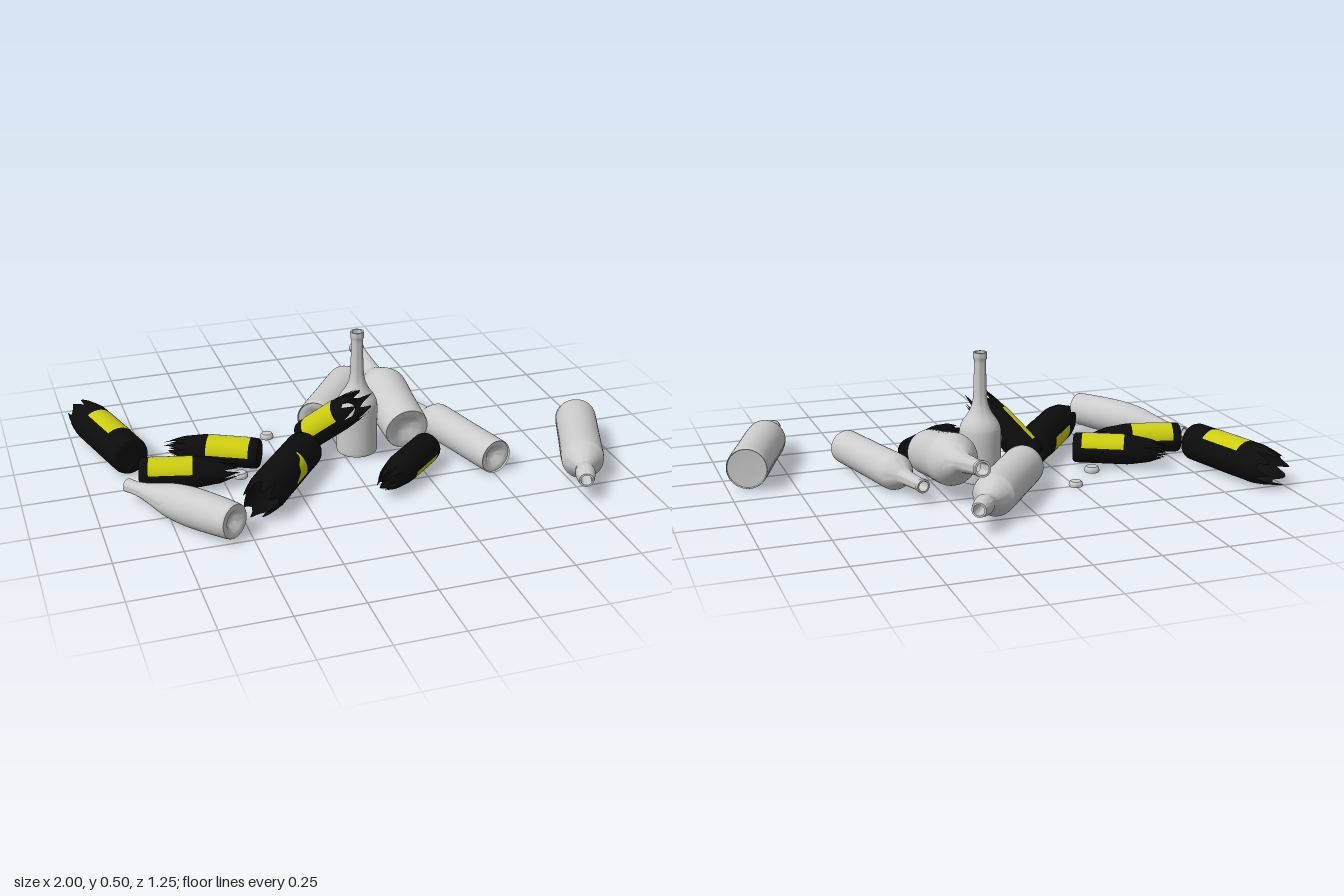
import * as THREE from 'three';
import { toCreasedNormals } from 'three/addons/utils/BufferGeometryUtils.js';

const grey = new THREE.MeshStandardMaterial({ color: 0xcccccc, side: THREE.DoubleSide });
const black = new THREE.MeshStandardMaterial({ color: 0x0c0c0c, side: THREE.DoubleSide });
const yellow = new THREE.MeshStandardMaterial({ color: 0xcccc10, side: THREE.DoubleSide });
const V2 = (p) => new THREE.Vector2(p[0], p[1]);

// Puts an object's base at "base", its axis toward "tip" and its local +z toward "face"
function place(obj, base, tip, face = [0, 1, 0.001]) {
  const b = new THREE.Vector3(...base);
  const y = new THREE.Vector3(...tip).sub(b).normalize();
  const z = new THREE.Vector3(...face);
  z.addScaledVector(y, -z.dot(y)).normalize();
  const x = new THREE.Vector3().crossVectors(y, z);
  obj.quaternion.setFromRotationMatrix(new THREE.Matrix4().makeBasis(x, y, z));
  obj.position.copy(b);
  return obj;
}

// Whole bottle: punted base, smooth outer wall [radius, height], open neck
function bottle(name, wall, punt = 0.025) {
  const [r0] = wall[0];
  const [rTop, hTop] = wall[wall.length - 1];
  const pts = [
    [0, punt], [r0 * 0.35, punt * 0.85], [r0 * 0.65, 0.002], [r0 * 0.88, 0],
  ].map(V2);
  pts.push(...new THREE.SplineCurve(wall.map(V2)).getPoints(48));
  pts.push(V2([rTop * 0.75, hTop]), V2([rTop * 0.7, hTop - 0.08]));
  const mesh = new THREE.Mesh(toCreasedNormals(new THREE.LatheGeometry(pts, 40), 0.7), grey);
  mesh.name = name;
  return mesh;
}

// Radius of a piecewise profile at height t
function radiusAt(profile, t) {
  for (let i = 1; i < profile.length; i++) {
    const [r0, h0] = profile[i - 1];
    const [r1, h1] = profile[i];
    if (t <= h1) return THREE.MathUtils.lerp(r0, r1, (t - h0) / (h1 - h0));
  }
  return profile[profile.length - 1][0];
}

// Curved label; cut(u) trims its height across the width
function label(name, r, y0, y1, angle, half, cut = () => 1) {
  const g = new THREE.CylinderGeometry(r, r, y1 - y0, 24, 1, true, angle - half, half * 2);
  g.translate(0, (y1 - y0) / 2, 0);
  const p = g.attributes.position;
  for (let i = 0; i < p.count; i++) p.setY(i, y0 + p.getY(i) * cut((i % 25) / 24));
  const mesh = new THREE.Mesh(g, yellow);
  mesh.name = name;
  return mesh;
}

// Broken bottle: lathe whose upper edge is pulled down into jagged shards
function brokenBottle(name, profile, depth, seed, tag) {
  const group = new THREE.Group();
  group.name = name;
  const r = profile[0][0];
  const len = profile[profile.length - 1][1];
  const start = len * 0.45;
  const seg = 32;
  const pts = [[0, 0.008], [r * 0.6, 0.003], [r * 0.85, 0], [r * 0.96, 0.005], [r, 0.016]].map(V2);
  for (let i = 0; i <= 14; i++) {
    const t = start + ((len - start) * i) / 14;
    pts.push(V2([radiusAt(profile, t), t]));
  }
  const g = new THREE.LatheGeometry(pts, seg);
  const p = g.attributes.position;
  const shard = (k) => {
    const tooth = [0, 0.55, 0.9, 0.35][k % 4];
    return Math.min(1, tooth * 0.7 + 0.3 * Math.abs(Math.sin(k * 1.9 + seed)));
  };
  for (let i = 0; i < p.count; i++) {
    if (p.getY(i) <= start) continue;
    const k = Math.floor(i / pts.length) % seg;
    const a = Math.atan2(p.getX(i), p.getZ(i));
    const edge = len - depth * shard(k);
    const t = start + ((p.getY(i) - start) * (edge - start)) / (len - start);
    const rad = radiusAt(profile, t);
    p.setXYZ(i, Math.sin(a) * rad, t, Math.cos(a) * rad);
  }
  const glass = new THREE.Mesh(toCreasedNormals(g, 0.8), black);
  glass.name = 'brokenGlass';
  group.add(glass, label('label', r + 0.0015, tag.y0, tag.y1, 0, tag.half));
  if (tag.torn) {
    group.add(label('tornLabel', r + 0.0015, 0.16, 0.26, Math.PI, 0.65,
      (u) => Math.max(0.02, 1 - u + 0.06 * Math.sin(u * 14))));
  }
  return group;
}

export function createModel() {
  const model = new THREE.Group();
  model.name = 'bottlePile';

  // Whole bottles
  const standing = [[0.076, 0], [0.08, 0.01], [0.08, 0.1], [0.08, 0.19], [0.071, 0.225], [0.045, 0.265],
    [0.03, 0.305], [0.025, 0.36], [0.023, 0.465], [0.026, 0.475], [0.026, 0.5]];
  const bulging = [[0.084, 0], [0.088, 0.012], [0.092, 0.14], [0.098, 0.25], [0.094, 0.29], [0.064, 0.345],
    [0.041, 0.385], [0.034, 0.44], [0.027, 0.57], [0.03, 0.58], [0.03, 0.6]];
  const stout = [[0.075, 0], [0.08, 0.01], [0.08, 0.18], [0.08, 0.35], [0.07, 0.38], [0.04, 0.425],
    [0.033, 0.445], [0.037, 0.475], [0.034, 0.505], [0.027, 0.536]];
  const slim = [[0.063, 0], [0.067, 0.01], [0.068, 0.2], [0.07, 0.35], [0.066, 0.39], [0.045, 0.425],
    [0.03, 0.45], [0.026, 0.5], [0.023, 0.555], [0.026, 0.562], [0.026, 0.576]];
  const sloped = [[0.06, 0], [0.066, 0.012], [0.071, 0.12], [0.071, 0.22], [0.062, 0.3], [0.045, 0.37],
    [0.031, 0.43], [0.025, 0.48], [0.026, 0.517]];
  model.add(
    place(bottle('standingBottle', standing), [0.063, 0, -0.053], [0.063, 0.5, -0.053], [0, 0, 1]),
    place(bottle('leaningBottle', bulging), [0.24, 0.1, 0.035], [0.225, 0.212, -0.555]),
    place(bottle('backBottle', stout), [-0.062, 0.08, -0.187], [0.257, 0.086, -0.61]),
    place(bottle('farLeftBottle', stout, 0.002), [0.928, 0.082, 0.115], [0.727, 0.087, 0.615]),
    place(bottle('middleBottle', slim), [0.5, 0.069, 0.3], [0.35, 0.066, -0.256]),
    place(bottle('farRightBottle', sloped), [-0.565, 0.078, 0.49], [-0.866, 0.055, 0.07]),
  );

  // Large broken bottles
  const wide = [[0.074, 0], [0.075, 0.36], [0.066, 0.42], [0.05, 0.49]];
  const wideTag = { y0: 0.11, y1: 0.3, half: 0.72, torn: true };
  // Small broken bottles, tapering to a point
  const taper = [[0.059, 0], [0.059, 0.22], [0.046, 0.3], [0.015, 0.385]];
  const taperTag = { y0: 0.035, y1: 0.2, half: 1.4 };
  const cup = [[0.062, 0], [0.062, 0.2], [0.057, 0.27], [0.045, 0.36]];
  const cupTag = { y0: 0.05, y1: 0.22, half: 0.95 };
  const broken = [
    ['brokenBottleBack', wide, 0.11, 1, wideTag, [-0.82, 0.077, -0.107], [-0.945, 0.077, -0.57], [0.18, 1, 0]],
    ['brokenBottleCentre', wide, 0.11, 2, wideTag, [-0.172, 0.075, 0.025], [-0.44, 0.075, 0.36], [-0.6, -0.4, -0.5]],
    ['brokenBottleUpper', taper, 0.1, 3, taperTag, [-0.345, 0.068, 0], [-0.685, 0.068, -0.175], [0, 1, 0.1]],
    ['brokenBottleLower', taper, 0.09, 4, taperTag, [-0.81, 0.062, 0.005], [-0.455, 0.062, 0.095], [0.02, 1, -0.1]],
    ['brokenBottleFront', taper, 0.1, 5, { ...taperTag, half: 1.2 }, [0.29, 0.066, 0.135], [0.005, 0.066, 0.39], [0.2, -1, 0.2]],
    ['brokenBottleTilted', cup, 0.12, 6, cupTag, [-0.14, 0.07, -0.085], [0.03, 0.28, 0.1], [-0.9, 0.6, 0.2]],
  ];
  for (const [name, profile, depth, seed, tag, base, tip, face] of broken) {
    model.add(place(brokenBottle(name, profile, depth, seed, tag), base, tip, face));
  }

  // Loose caps on the ground
  const capWall = [[0, 0], [0.026, 0], [0.027, 0.004], [0.025, 0.015], [0.02, 0.02], [0, 0.021]].map(V2);
  const capGeo = toCreasedNormals(new THREE.LatheGeometry(capWall, 20), 0.7);
  for (const [x, z, s] of [[-0.25, -0.255, 1], [-0.376, -0.115, 1.1], [-0.515, 0.295, 0.9], [-0.43, 0.035, 1]]) {
    const cap = new THREE.Mesh(capGeo, grey);
    cap.name = 'bottleCap';
    cap.position.set(x, 0, z);
    cap.scale.setScalar(s);
    model.add(cap);
  }
  return model;
}
